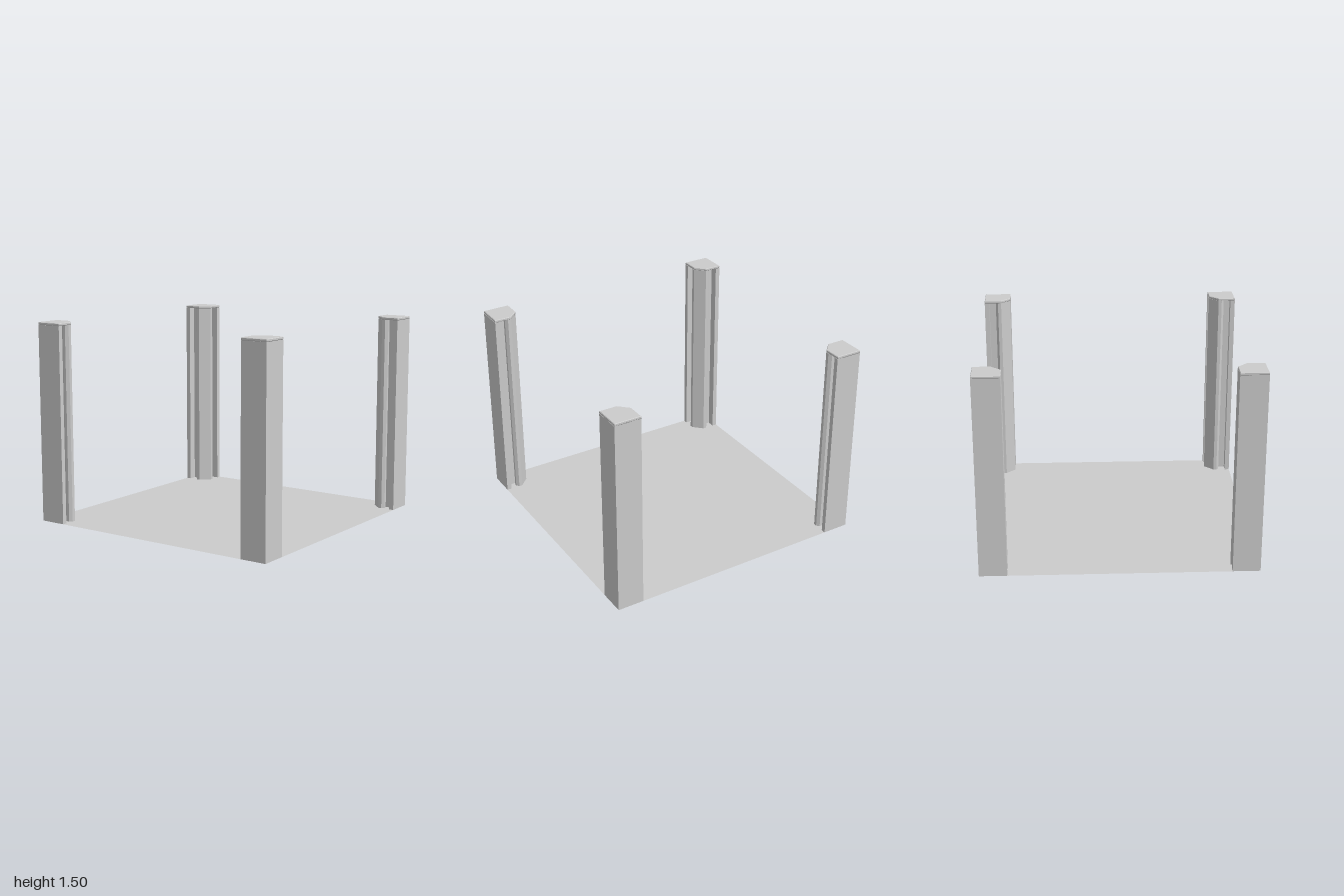
import * as THREE from 'three';

const HEIGHT = 1.495, CAP = 0.02;

// half of the fluted inner side of a post, in (x, z): edge strip, groove, corner lobe
const half = [
  [0.8, 1], [0.8, 0.965], [0.86, 0.965], [0.86, 0.9],
  [0.84, 0.913], [0.82, 0.913], [0.8, 0.895], [0.8, 0.87],
];
const inner = [...half, ...half.map(([x, z]) => [z, x]).reverse()];

// open tube: vertical walls along a closed outline
function walls(outline, y0, y1) {
  const pos = [];
  outline.forEach(([ax, az], i) => {
    const [bx, bz] = outline[(i + 1) % outline.length];
    pos.push(ax, y0, az, ax, y1, az, bx, y0, bz);
    pos.push(bx, y0, bz, ax, y1, az, bx, y1, bz);
  });
  const g = new THREE.BufferGeometry();
  g.setAttribute('position', new THREE.Float32BufferAttribute(pos, 3));
  g.computeVertexNormals();
  return g;
}

const toShape = (pts) => new THREE.Shape(pts.map(([x, z]) => new THREE.Vector2(x, z)));

export function createModel() {
  const model = new THREE.Group();
  const material = new THREE.MeshStandardMaterial({
    color: 0xcccccc, flatShading: true, side: THREE.DoubleSide,
  });

  // thin floor, cut out around the hollow posts
  const floorOutline = [];
  let corner = inner;
  for (let i = 0; i < 4; i++) {
    floorOutline.push(...corner);
    corner = corner.map(([x, z]) => [z, -x]);
  }
  const floorGeometry = new THREE.ShapeGeometry(toShape(floorOutline));
  floorGeometry.rotateX(Math.PI / 2);
  const floor = new THREE.Mesh(floorGeometry, material);
  floor.name = 'floor';
  model.add(floor);

  // fluted shaft, open at the bottom
  const shaftGeometry = walls([...inner, [1, 1]], 0, HEIGHT - CAP);

  // chamfered cap with a fine bevel
  const bevel = 0.004;
  const capGeometry = new THREE.ExtrudeGeometry(
    toShape([[0.8, 1], [0.8, 0.87], [0.87, 0.8], [1, 0.8], [1, 1]]),
    {
      depth: CAP - 2 * bevel, bevelEnabled: true, bevelSegments: 1,
      bevelSize: bevel, bevelThickness: bevel, bevelOffset: -bevel,
    },
  );
  capGeometry.rotateX(Math.PI / 2).translate(0, HEIGHT - bevel, 0);

  // one post at each corner
  const names = ['frontLeftPost', 'backLeftPost', 'backRightPost', 'frontRightPost'];
  names.forEach((name, i) => {
    const post = new THREE.Group();
    post.name = name;
    const shaft = new THREE.Mesh(shaftGeometry, material);
    shaft.name = 'shaft';
    const cap = new THREE.Mesh(capGeometry, material);
    cap.name = 'cap';
    post.add(shaft, cap);
    post.rotation.y = i * Math.PI / 2;
    model.add(post);
  });

  return model;
}
